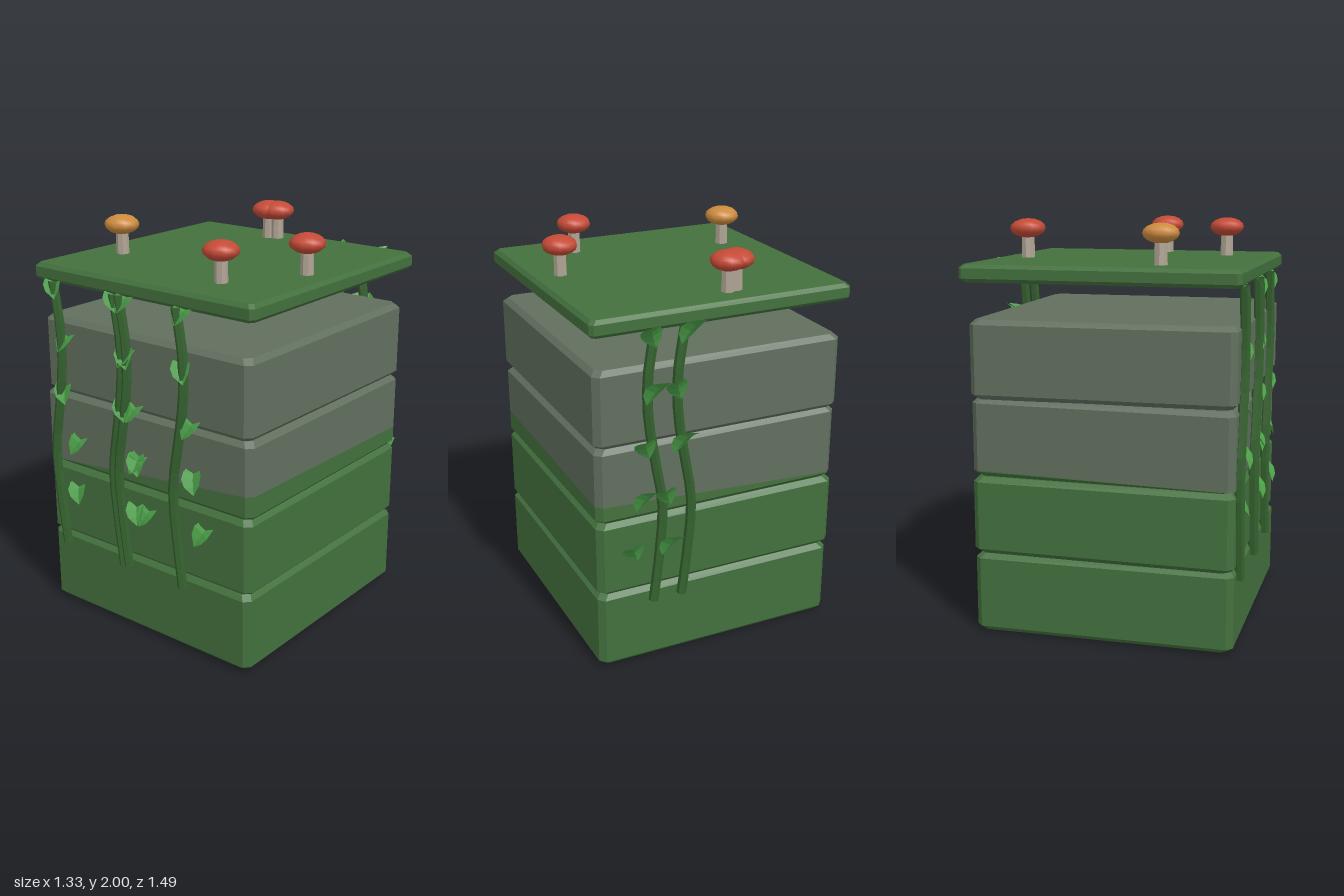
import * as THREE from 'three';

const mat = (name, color, side = THREE.FrontSide) => {
  const m = new THREE.MeshStandardMaterial({ color, side });
  m.name = name;
  return m;
};

// Small seeded generator for the uneven stone corners
function seeded(seed) {
  let s = seed;
  return () => ((s = (s * 16807) % 2147483647) / 2147483647) * 2 - 1;
}

// Chamfered block lofted from eight-sided rings; an optional split height gives two colour groups
function chamferBlock({ hx, hz, cz, y0, y1, bevel, corner, jitter = 0, seed = 1, split }) {
  const rnd = seeded(seed * 7919);
  const offsets = [0, 1, 2, 3].map(() => [rnd() * jitter, rnd() * jitter, rnd() * jitter * 0.5]);
  const ring = (y, inset, isSplit) => {
    const x = hx - inset, z = hz - inset, c = corner;
    return [
      [x - c, z], [x, z - c], [x, c - z], [x - c, -z],
      [c - x, -z], [-x, c - z], [-x, z - c], [c - x, z],
    ].map(([px, pz], i) => {
      const o = offsets[i >> 1];
      return new THREE.Vector3(px + o[0], isSplit ? split(px, pz) : y + o[2], pz + cz + o[1]);
    });
  };
  const rings = [ring(y0, bevel), ring(y0 + bevel, 0)];
  if (split) rings.push(ring(0, 0, true));
  rings.push(ring(y1 - bevel, 0), ring(y1, bevel));

  const pos = [];
  const tri = (...pts) => pts.forEach((p) => pos.push(p.x, p.y, p.z));
  const cap = (r, up) => {
    const mid = r.reduce((a, p) => a.add(p), new THREE.Vector3()).divideScalar(8);
    r.forEach((p, i) => (up ? tri(mid, p, r[(i + 1) % 8]) : tri(mid, r[(i + 1) % 8], p)));
  };
  cap(rings[0], false);
  let cut = 0;
  for (let k = 0; k < rings.length - 1; k++) {
    if (split && k === 2) cut = pos.length / 3;
    for (let i = 0; i < 8; i++) {
      const j = (i + 1) % 8;
      const a = rings[k][i], b = rings[k][j], c = rings[k + 1][j], d = rings[k + 1][i];
      tri(a, b, c);
      tri(a, c, d);
    }
  }
  cap(rings[rings.length - 1], true);

  const geo = new THREE.BufferGeometry();
  geo.setAttribute('position', new THREE.Float32BufferAttribute(pos, 3));
  if (split) {
    geo.addGroup(0, cut, 0);
    geo.addGroup(cut, pos.length / 3 - cut, 1);
  }
  geo.computeVertexNormals();
  return geo;
}

// Pointed, lightly folded leaf growing along +y
function leafGeometry() {
  const geo = new THREE.PlaneGeometry(2, 1, 2, 5);
  const p = geo.attributes.position;
  for (let i = 0; i < p.count; i++) {
    const t = p.getY(i) + 0.5;
    const x = p.getX(i) * 0.052 * Math.sin(Math.PI * Math.pow(t, 0.8));
    p.setXYZ(i, x, 0.19 * t, Math.abs(x) * 0.35 + 0.02 * Math.sin(Math.PI * t) - 0.01);
  }
  const flat = geo.toNonIndexed();
  flat.computeVertexNormals();
  return flat;
}

export function createModel() {
  const group = new THREE.Group();
  const moss = mat('mossGreen', 0x43703d);
  const stone = mat('stoneGrey', 0x616f5e);
  const vineMat = mat('vineGreen', 0x35622f, THREE.DoubleSide);
  const leafMat = mat('leafGreen', 0x4a9e47, THREE.DoubleSide);
  const red = mat('capRed', 0xc44a36);
  const orange = mat('capOrange', 0xcc8a3e);
  const stemMat = mat('stemBeige', 0xb0a494);

  const add = (name, geo, material, parent = group) => {
    const m = new THREE.Mesh(geo, material);
    m.name = name;
    parent.add(m);
    return m;
  };

  // Stacked stone blocks: mossy at the bottom, bare at the top
  const mossLine = (x, z) => 0.85 + 0.045 * Math.sign(x) + 0.012 * Math.sign(x) * Math.sign(z);
  const blocks = [
    ['bottomBlock', 0.005, 0.402, moss],
    ['lowerBlock', 0.402, 0.785, moss],
    ['upperBlock', 0.785, 1.168, [moss, stone], mossLine],
    ['topBlock', 1.168, 1.55, stone],
  ];
  blocks.forEach(([name, y0, y1, material, split], i) => {
    add(name, chamferBlock({
      hx: 0.643, hz: 0.64, cz: 0.054, y0, y1, bevel: 0.024, corner: 0.03, jitter: 0.009, seed: i + 3, split,
    }), material);
  });

  // Floating mossy slab
  add('slab', chamferBlock({
    hx: 0.666, hz: 0.668, cz: 0.048, y0: 1.722, y1: 1.806, bevel: 0.018, corner: 0.018,
  }), moss);

  // Mushrooms on the slab
  const stemGeo = new THREE.CylinderGeometry(0.031, 0.033, 0.13, 8).toNonIndexed();
  stemGeo.computeVertexNormals();
  const capGeo = new THREE.SphereGeometry(0.087, 10, 8);
  capGeo.scale(1, 0.55, 1);
  [
    [-0.46, 0.305, orange], [0.52, 0.11, red], [0.305, 0.475, red],
    [-0.125, -0.463, red], [-0.078, -0.475, red],
  ].forEach(([x, z, capMat]) => {
    const mushroom = new THREE.Group();
    mushroom.name = 'mushroom';
    mushroom.position.set(x, 1.8, z);
    add('mushroomStem', stemGeo, stemMat, mushroom).position.y = 0.06;
    add('mushroomCap', capGeo, capMat, mushroom).position.y = 0.152;
    group.add(mushroom);
  });

  // Hanging vines, each with five leaves tilted towards the back
  const sway = [[0, 1.73], [0.036, 1.5], [0.034, 1.3], [0.004, 1.1], [-0.035, 0.85], [-0.018, 0.6], [0.014, 0.345]];
  const leafSpots = [[0.12, 0.605], [0.1, 0.865], [0.055, 1.125], [0.045, 1.39], [0.02, 1.655]];
  const leafGeo = leafGeometry();
  [
    [-0.54, 0.712, 1], [-0.143, 0.712, 1], [-0.11, 0.712, -1], [0.238, 0.712, -1],
    [0.205, -0.608, 1], [0.355, -0.608, -1],
  ].forEach(([x, z, lean]) => {
    const vine = new THREE.Group();
    vine.name = 'vine';
    const curve = new THREE.CatmullRomCurve3(sway.map(([dx, y]) => new THREE.Vector3(x + dx, y, z)));
    const tube = new THREE.TubeGeometry(curve, 14, 0.024, 6).toNonIndexed();
    tube.computeVertexNormals();
    add('vineStem', tube, vineMat, vine);
    leafSpots.forEach(([dx, y], i) => {
      const leaf = add('leaf', leafGeo, leafMat, vine);
      const side = i % 2 ? -lean : lean;
      leaf.position.set(x + dx + side * 0.012, y, z > 0 ? 0.745 : -0.63);
      leaf.rotation.set(-0.68, 0, side * 0.4);
    });
    group.add(vine);
  });

  return group;
}
